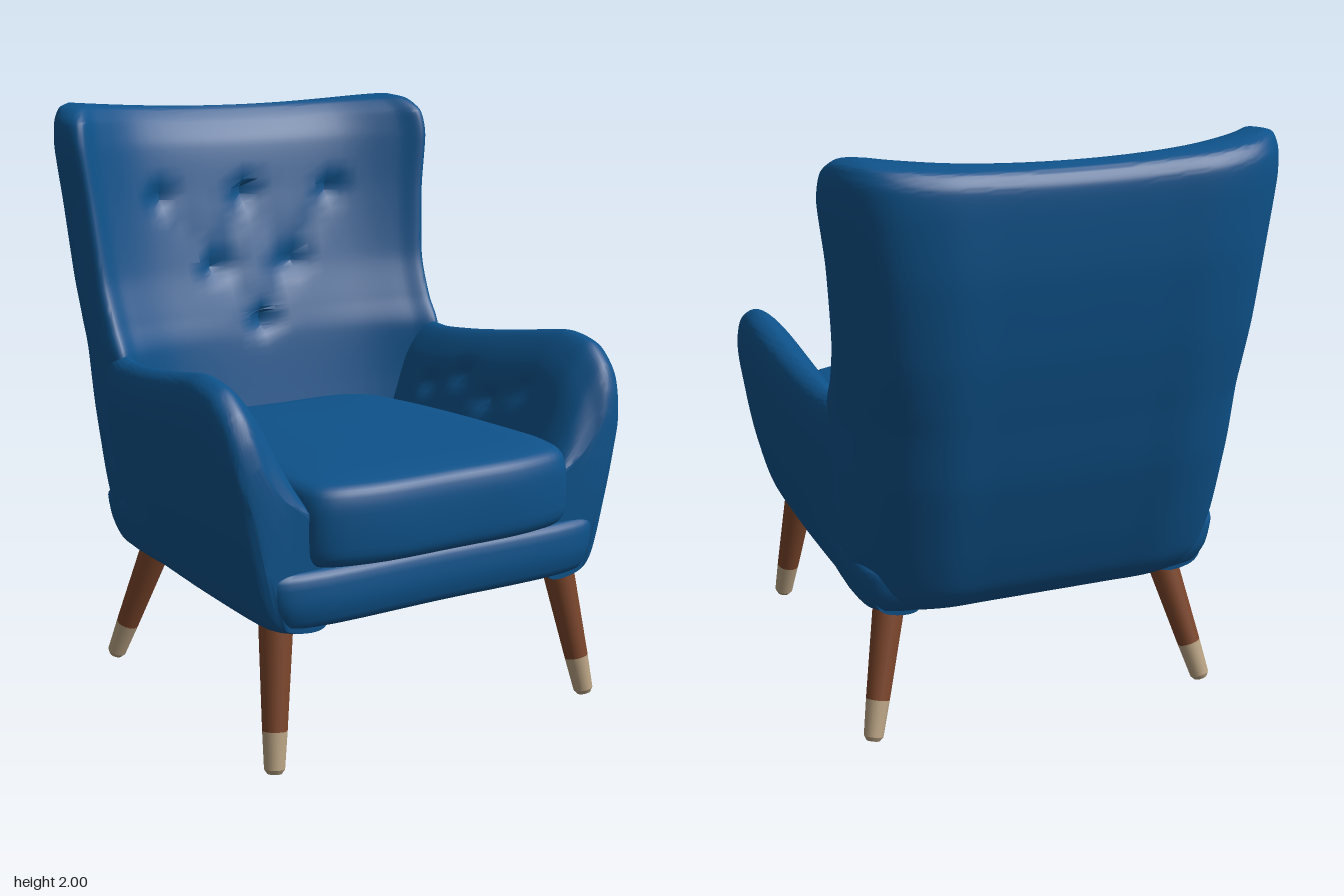
import * as THREE from 'three';
import { toCreasedNormals } from 'three/addons/utils/BufferGeometryUtils.js';

const V = (x, y, z) => new THREE.Vector3(x, y, z);
const mix = THREE.MathUtils.lerp;

// Smoothly interpolates a table of parameter rows
function smoothRows(rows, steps) {
  const out = [];
  const at = i => rows[Math.min(rows.length - 1, Math.max(0, i))];
  for (let i = 0; i < rows.length - 1; i++) {
    for (let s = 0; s < steps; s++) {
      const t = s / steps;
      out.push(rows[i].map((p1, c) => {
        const p0 = at(i - 1)[c], p2 = at(i + 1)[c], p3 = at(i + 2)[c];
        const m1 = (p2 - p0) * 0.35, m2 = (p3 - p1) * 0.35;
        return p1 + m1 * t + (3 * (p2 - p1) - 2 * m1 - m2) * t * t + (2 * (p1 - p2) + m1 + m2) * t * t * t;
      }));
    }
  }
  out.push(rows[rows.length - 1]);
  return out;
}

// Closed smooth ring through control points
const ring = (points, per) =>
  new THREE.CatmullRomCurve3(points, true, 'centripetal').getPoints(points.length * per).slice(0, -1);

// Completes a half outline (first and last point on x = 0) by mirroring
const mirrorX = half => half.concat(half.slice(1, -1).reverse().map(p => V(-p.x, p.y, p.z)));

// Skin over rings; each end is zipped shut across its middle
function loft(rings) {
  const n = rings[0].length;
  const zip = r => r.map((p, k) => p.clone().add(r[(n / 2 - k + n) % n]).multiplyScalar(0.5));
  const all = [zip(rings[0]), ...rings, zip(rings[rings.length - 1])];
  const pts = all.flat(), index = [];
  for (let i = 0; i < all.length - 1; i++) {
    for (let k = 0; k < n; k++) {
      const a = i * n + k, b = i * n + (k + 1) % n;
      index.push(a, b, a + n, b, b + n, a + n);
    }
  }
  // Turn the faces outward
  let volume = 0;
  for (let i = 0; i < index.length; i += 3) {
    volume += pts[index[i]].dot(V(0, 0, 0).crossVectors(pts[index[i + 1]], pts[index[i + 2]]));
  }
  if (volume < 0) index.reverse();
  const g = new THREE.BufferGeometry().setFromPoints(pts);
  g.setIndex(index);
  return toCreasedNormals(g, 0.8);
}

// Depth of tufting: deep buttons joined by shallow folds
function tuft(u, v, buttons, folds) {
  let d = 0;
  for (const [a, b] of buttons) d += 0.035 * Math.exp(-((u - a) ** 2 + (v - b) ** 2) / 0.0016);
  for (const [i, j] of folds) {
    const [a, b] = buttons[i], [c, e] = buttons[j];
    const t = THREE.MathUtils.clamp(((u - a) * (c - a) + (v - b) * (e - b)) / ((c - a) ** 2 + (e - b) ** 2), 0, 1);
    d += 0.01 * Math.exp(-((u - mix(a, c, t)) ** 2 + (v - mix(b, e, t)) ** 2) / 0.0015);
  }
  return d;
}

// Winged back: rows of y, half width, back z, wing front z, centre front z
function backGeometry() {
  const rows = [
    [0.455, 0.57, -0.45, -0.22, -0.25], [0.475, 0.60, -0.52, -0.24, -0.28], [0.55, 0.635, -0.57, -0.25, -0.3],
    [0.7, 0.66, -0.62, -0.25, -0.31], [0.95, 0.68, -0.69, -0.25, -0.36], [1.15, 0.69, -0.73, -0.25, -0.40],
    [1.25, 0.692, -0.75, -0.31, -0.43], [1.4, 0.70, -0.775, -0.375, -0.48], [1.65, 0.72, -0.80, -0.41, -0.55],
    [1.85, 0.745, -0.80, -0.425, -0.60], [1.94, 0.738, -0.793, -0.45, -0.645], [1.985, 0.71, -0.765, -0.51, -0.68],
    [2.0, 0.665, -0.72, -0.58, -0.70],
  ];
  const buttons = [[-0.36, 1.66], [0, 1.66], [0.36, 1.66], [-0.15, 1.4], [0.15, 1.4], [0, 1.2]];
  const folds = [[0, 3], [1, 3], [1, 4], [2, 4], [3, 5], [4, 5]];
  return loft(smoothRows(rows, 7).map(([y, w, zb, zt, zc]) => {
    const depth = zt - zb;
    const r = ring(mirrorX([
      V(0, y, zb), V(0.35 * w, y, zb), V(0.62 * w, y, zb + 0.01 * depth), V(0.84 * w, y, zb + 0.16 * depth),
      V(0.96 * w, y, zb + 0.45 * depth), V(w, y, zb + 0.75 * depth), V(0.95 * w, y, zt),
      V(0.83 * w, y, mix(zt, zc, 0.28)), V(0.55 * w, y, mix(zt, zc, 0.78)), V(0, y, zc),
    ]), 7);
    const n = r.length;
    r.forEach((p, k) => {
      if (Math.abs(k - n / 2) < n * 0.16) p.z -= tuft(p.x, p.y, buttons, folds);
      // Gentle dip along the top edge
      p.y -= 0.03 * THREE.MathUtils.smoothstep(y, 1.75, 2) * Math.max(0, 1 - (p.x / 0.65) ** 2);
    });
    return r;
  }));
}

// Arm: rows of z, top y, lower outer x, upper outer x, crest x, upper inner x
function armGeometry(side) {
  const rows = [
    [-0.47, 1.1, 0.58, 0.64, 0.60, 0.54], [-0.3, 1.16, 0.61, 0.692, 0.63, 0.56], [-0.18, 1.155, 0.62, 0.705, 0.64, 0.565],
    [0, 1.17, 0.63, 0.73, 0.66, 0.575], [0.22, 1.2, 0.64, 0.755, 0.68, 0.59], [0.45, 1.235, 0.645, 0.775, 0.70, 0.61],
    [0.58, 1.215, 0.645, 0.772, 0.70, 0.615], [0.66, 1.15, 0.64, 0.758, 0.695, 0.62],
    [0.7, 1.07, 0.625, 0.735, 0.685, 0.62], [0.718, 0.99, 0.60, 0.705, 0.665, 0.61],
  ];
  const buttons = [[0.4, 1.03], [0.22, 0.96], [0.05, 1.02], [-0.12, 0.96]];
  const folds = [[0, 1], [1, 2], [2, 3]];
  return loft(smoothRows(rows, 6).map(([z, yt, xb, xo, xc, xi]) => {
    const r = ring([
      V(0.44, 0.458, z), V(xb - 0.04, 0.458, z), V(xb, 0.49, z), V(mix(xb, xo, 0.55), 0.70, z),
      V(mix(xb, xo, 0.86), mix(0.7, yt, 0.45), z), V(xo, yt - 0.09, z), V(mix(xo, xc, 0.3), yt - 0.02, z), V(xc, yt, z),
      V(xi, yt - 0.09, z), V(mix(xi, 0.47, 0.55), mix(0.7, yt, 0.5), z), V(0.47, 0.8, z), V(0.45, 0.62, z),
    ], 7);
    r.forEach((p, k) => {
      if (k > 7 * 7.5 && k < 7 * 10.5) p.x += 0.7 * tuft(p.z, p.y, buttons, folds);
      p.x *= side;
    });
    return r;
  }));
}

// Base: rows of y, half width, back z, front z
function baseGeometry() {
  const rows = [
    [0.455, 0.58, -0.45, 0.70], [0.475, 0.61, -0.49, 0.735], [0.54, 0.63, -0.52, 0.75],
    [0.62, 0.645, -0.52, 0.742], [0.645, 0.64, -0.5, 0.72], [0.65, 0.62, -0.48, 0.68],
  ];
  return loft(smoothRows(rows, 3).map(([y, w, z0, z1]) => ring(mirrorX([
    V(0, y, z0), V(w - 0.12, y, z0), V(w - 0.03, y, z0 + 0.04), V(w, y, z0 + 0.14), V(w, y, 0.2),
    V(w, y, z1 - 0.1), V(w - 0.025, y, z1 - 0.03), V(w - 0.12, y, z1), V(0, y, z1),
  ]), 5)));
}

// Seat cushion: rows of y and outline scale
function cushionGeometry() {
  const rows = [
    [0.645, 0.9], [0.655, 0.965], [0.69, 0.995], [0.77, 1], [0.84, 0.995], [0.885, 0.975],
    [0.908, 0.93], [0.92, 0.8], [0.926, 0.5], [0.928, 0.2],
  ];
  const mid = 0.21;
  const half = [[0, -0.37], [0.3, -0.365], [0.385, -0.31], [0.44, -0.15], [0.485, 0.1], [0.515, 0.4],
    [0.52, 0.64], [0.48, 0.745], [0.32, 0.797], [0, 0.805]];
  return loft(smoothRows(rows, 3).map(([y, s]) =>
    ring(mirrorX(half.map(([x, z]) => V(x * s, y, mid + (z - mid) * s))), 5)));
}

// Tapered round rod between two points
function rod(a, b, ra, rb) {
  const dir = b.clone().sub(a);
  const g = new THREE.CylinderGeometry(rb, ra, dir.length(), 20);
  g.applyQuaternion(new THREE.Quaternion().setFromUnitVectors(V(0, 1, 0), dir.clone().normalize()));
  const m = a.clone().add(b).multiplyScalar(0.5);
  return g.translate(m.x, m.y, m.z);
}

export function createModel() {
  const chair = new THREE.Group();
  chair.name = 'armchair';
  const material = (name, color) => {
    const m = new THREE.MeshStandardMaterial({ color });
    m.name = name;
    return m;
  };
  const fabric = material('blue fabric', 0x0e528a);
  const wood = material('brown wood', 0x7a452b);
  const tip = material('beige tip', 0xb8a283);
  const add = (name, geometry, mat) => {
    const mesh = new THREE.Mesh(geometry, mat);
    mesh.name = name;
    chair.add(mesh);
  };

  add('wingedBack', backGeometry(), fabric);
  add('base', baseGeometry(), fabric);
  add('seatCushion', cushionGeometry(), fabric);

  for (const [side, label] of [[1, 'left'], [-1, 'right']]) {
    add(label + 'Arm', armGeometry(side), fabric);
    // Splayed legs with pale tips
    for (const [place, top, foot] of [
      ['Front', V(0.555 * side, 0.48, 0.61), V(0.618 * side, 0.02, 0.705)],
      ['Back', V(0.49 * side, 0.48, -0.325), V(0.605 * side, 0.02, -0.472)],
    ]) {
      const split = foot.clone().lerp(top, 0.25);
      const heel = foot.clone().lerp(split, -0.12);
      add(label + place + 'Leg', rod(split, top, 0.04, 0.056), wood);
      add(label + place + 'LegTip', rod(foot, split, 0.033, 0.04), tip);
      add(label + place + 'LegEnd', rod(heel, foot, 0.023, 0.033), tip);
    }
  }
  return chair;
}
